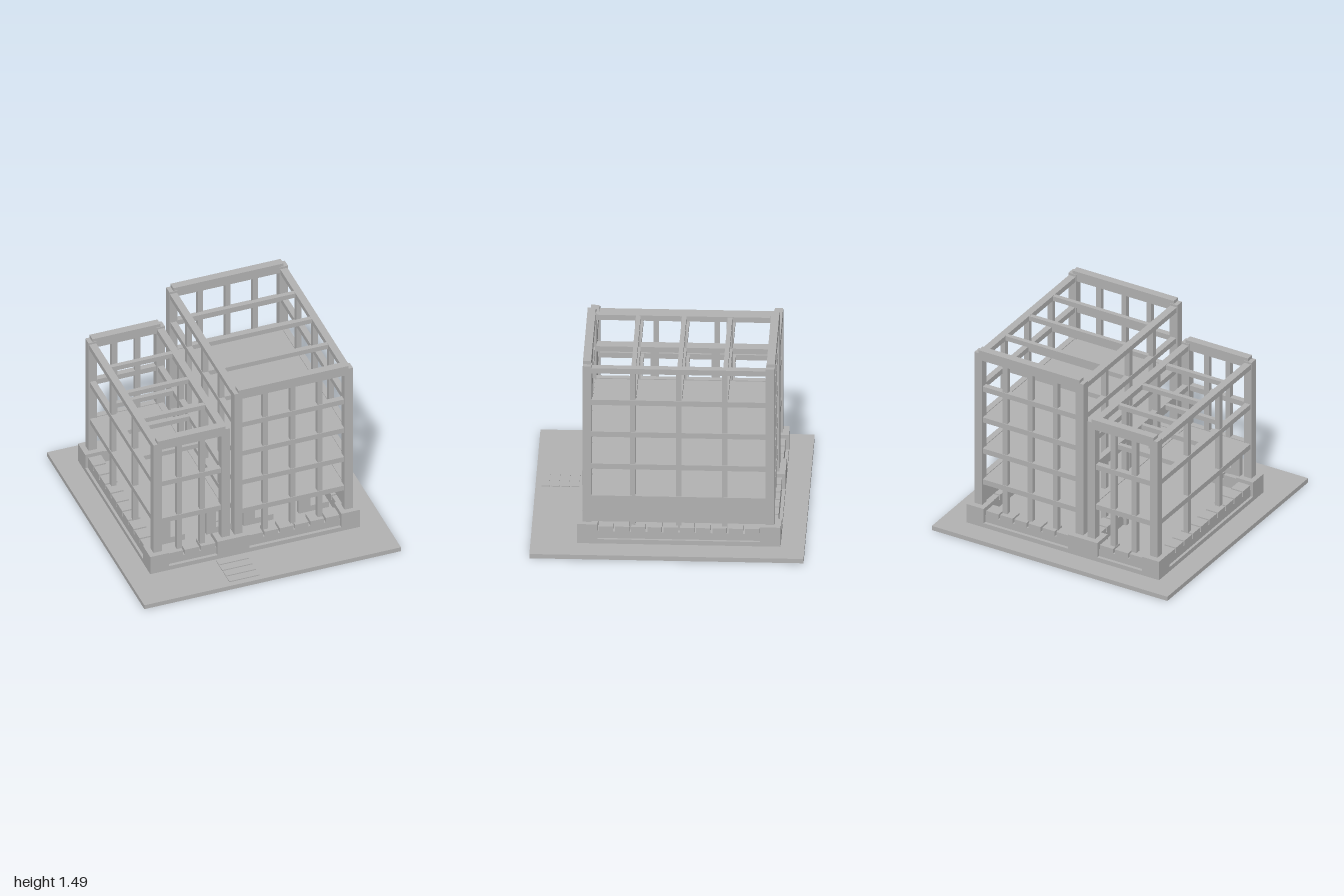
import * as THREE from 'three';

const concrete = new THREE.MeshStandardMaterial({ color: 0xb2b2b2 });
concrete.name = 'concrete grey';

// Box given by its limits on each axis
function box(parent, name, x0, x1, y0, y1, z0, z1) {
  const mesh = new THREE.Mesh(new THREE.BoxGeometry(x1 - x0, y1 - y0, z1 - z0), concrete);
  mesh.position.set((x0 + x1) / 2, (y0 + y1) / 2, (z0 + z1) / 2);
  mesh.name = name;
  parent.add(mesh);
  return mesh;
}

function group(parent, name) {
  const g = new THREE.Group();
  g.name = name;
  parent.add(g);
  return g;
}

const BACK = -0.78, FRONT = 0.62, POST = 0.065;

// Open frame of posts, beams, mullions and floor slabs
function frame(parent, o) {
  const g = group(parent, o.name);
  const { x0, x1, top } = o;
  const in0 = x0 + POST, in1 = x1 - POST;
  const zin0 = BACK + POST, zin1 = FRONT - POST;

  // corner posts
  for (const x of [x0, in1]) for (const z of [BACK, zin1])
    box(g, 'cornerPost', x, x + POST, 0.07, top - 0.025, z, z + POST);

  // heavy roof beams at front and back, lighter ones along the sides
  for (const z of [BACK, FRONT - 0.06])
    box(g, 'roofBeam', x0 + 0.033, x1 - 0.033, top - 0.08, top, z, z + 0.06);
  for (const x of [x0 + 0.005, x1 - 0.06])
    box(g, 'roofSideBeam', x, x + 0.055, o.roof, o.roof + 0.042, zin0, zin1);

  // front and back mullions
  for (const x of o.frontMullions) for (const z of [BACK + 0.015, FRONT - 0.055])
    box(g, 'mullion', x - 0.02, x + 0.02, 0.07, top - 0.08, z, z + 0.04);

  // side mullions
  for (const z of o.sideMullions) for (const x of [x0 + 0.015, x1 - 0.055])
    box(g, 'sideMullion', x, x + 0.04, 0.07, o.roof, z - 0.02, z + 0.02);

  // floor beams around each storey, with a slab or open joists inside
  o.levels.forEach((y, i) => {
    for (const z of [BACK + 0.01, FRONT - 0.055])
      box(g, 'floorBeam', in0, in1, y, y + 0.042, z, z + 0.045);
    for (const x of [x0 + 0.01, x1 - 0.055])
      box(g, 'floorSideBeam', x, x + 0.045, y, y + 0.042, zin0, zin1);
    if (i < o.slabs)
      box(g, 'floorSlab', x0 + 0.05, x1 - 0.05, y + 0.006, y + 0.036, BACK + 0.05, FRONT - 0.05);
  });
  for (const y of [...o.levels.slice(o.slabs), o.roof]) for (const z of [-0.42, -0.085, 0.25])
    box(g, 'joist', x0 + 0.05, x1 - 0.05, y + 0.002, y + 0.04, z - 0.017, z + 0.017);
}

// Row of stones over a low continuous course; along 'x' or 'z'
function stoneRow(parent, axis, a, b, c0, c1) {
  const g = group(parent, 'stoneRow');
  const put = (name, s, e, y0, y1) => axis === 'x'
    ? box(g, name, s, e, y0, y1, c0, c1)
    : box(g, name, c0, c1, y0, y1, s, e);
  put('stoneCourse', a, b, 0.07, 0.125);
  const n = Math.round((b - a) / 0.12), step = (b - a) / n;
  for (let i = 0; i < n; i++)
    put('stone', a + i * step + 0.007, a + (i + 1) * step - 0.007, 0.125, 0.165);
}

export function createModel() {
  const model = new THREE.Group();
  model.name = 'buildingFrame';

  // ground and plinth
  box(model, 'groundSlab', -1, 1, 0, 0.035, -1, 1);
  box(model, 'plinth', -0.825, 0.81, 0.035, 0.07, -0.825, 0.66);

  // path tiles at the entrance
  for (let i = 0; i < 4; i++)
    box(model, 'pathTile', -0.32, -0.085, 0.035, 0.043, 0.68 + i * 0.073, 0.737 + i * 0.073);

  // large foundation blocks
  const foundation = group(model, 'foundation');
  for (const [z0, z1] of [[-0.825, -0.675], [0.51, 0.66]]) {
    box(foundation, 'cornerBlock', -0.825, -0.68, 0.07, 0.19, z0, z1);
    box(foundation, 'middleBlock', -0.3, -0.05, 0.07, 0.19, z0, z1);
    box(foundation, 'cornerBlock', 0.665, 0.81, 0.07, 0.19, z0, z1);
  }

  // stone rows between the blocks
  for (const [z0, z1] of [[-0.8, -0.7], [0.535, 0.635]]) {
    stoneRow(foundation, 'x', -0.68, -0.3, z0, z1);
    stoneRow(foundation, 'x', -0.05, 0.665, z0, z1);
  }
  for (const [x0, x1] of [[-0.805, -0.705], [-0.22, -0.12], [0.69, 0.79]])
    stoneRow(foundation, 'z', -0.675, 0.51, x0, x1);

  // the two wings
  frame(model, {
    name: 'tallWing', x0: -0.155, x1: 0.77, top: 1.487, roof: 1.402,
    levels: [0.36, 0.62, 0.882, 1.142], slabs: 3,
    frontMullions: [0.093, 0.307, 0.52], sideMullions: [-0.415, -0.08, 0.255],
  });
  frame(model, {
    name: 'lowWing', x0: -0.785, x1: -0.19, top: 1.19, roof: 1.108,
    levels: [0.435, 0.77], slabs: 1,
    frontMullions: [-0.577, -0.397], sideMullions: [-0.3, 0.145],
  });

  // solid wall along the ground floor of the tall wing
  box(model, 'groundFloorWall', 0.715, 0.757, 0.19, 0.402, BACK + POST, FRONT - POST);

  // L-shaped hangers below the first floor
  for (const [x, w, foot, top] of [[-0.705, 0.075, 0.19, 0.44], [-0.35, 0.075, 0.195, 0.44],
    [-0.06, 0.09, 0.235, 0.37], [0.37, 0.09, 0.235, 0.37]]) {
    const hanger = group(model, 'hanger');
    box(hanger, 'hangerUpright', x, x + w, 0.25, top, 0.52, 0.56);
    box(hanger, 'hangerFoot', x, x + foot, 0.2, 0.25, 0.52, 0.56);
  }
  return model;
}
